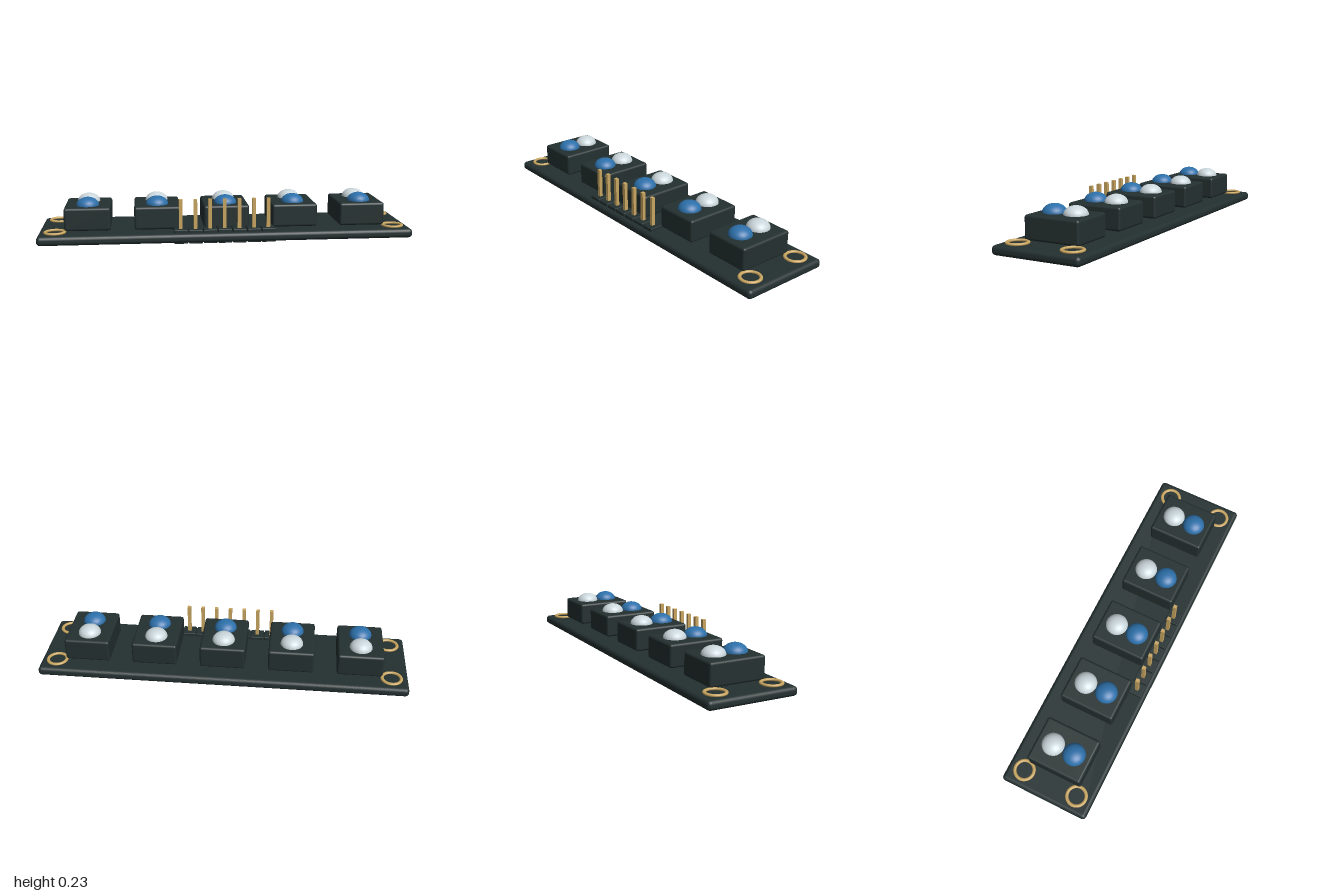
import * as THREE from 'three';
import { RoundedBoxGeometry } from 'three/addons/geometries/RoundedBoxGeometry.js';

const material = (name, color) => {
  const m = new THREE.MeshStandardMaterial({ color });
  m.name = name;
  return m;
};

export function createModel() {
  const model = new THREE.Group();
  model.name = 'sensorBoard';
  const dark = material('dark plastic', 0x243030);
  const gold = material('gold metal', 0xc9a661);
  const blue = material('blue lens', 0x2d70aa);
  const clear = material('clear lens', 0xcbd7dc);

  const add = (parent, name, geometry, mat, x, y, z) => {
    const mesh = new THREE.Mesh(geometry, mat);
    mesh.name = name;
    mesh.position.set(x, y, z);
    parent.add(mesh);
    return mesh;
  };

  // Circuit board
  add(model, 'board', new RoundedBoxGeometry(2, 0.049, 0.492, 3, 0.02), dark, 0, 0.0325, 0);

  // Five sensor housings, each with a blue and a clear lens dome
  const housing = new RoundedBoxGeometry(0.245, 0.123, 0.307, 3, 0.013);
  const dome = new THREE.SphereGeometry(0.061, 32, 12, 0, Math.PI * 2, 0, Math.PI / 2);
  dome.scale(1, 0.045 / 0.061, 1);
  for (let i = -2; i <= 2; i++) {
    const sensor = new THREE.Group();
    sensor.name = 'sensor';
    sensor.position.x = i * 0.37;
    model.add(sensor);
    add(sensor, 'housing', housing, dark, 0, 0.1255, 0);
    add(sensor, 'blueLens', dome, blue, 0, 0.186, 0.061);
    add(sensor, 'clearLens', dome, clear, 0, 0.186, -0.061);
  }

  // Flattened rings around the corner mounting points
  const ring = new THREE.TorusGeometry(0.051, 0.009, 10, 36);
  ring.rotateX(Math.PI / 2);
  ring.scale(1, 0.78, 1);
  for (const x of [-0.91, 0.91]) {
    for (const z of [-0.155, 0.155]) add(model, 'mountingRing', ring, gold, x, 0.063, z);
  }

  // Seven-pin header reaching through the board
  const block = new RoundedBoxGeometry(0.073, 0.074, 0.076, 2, 0.004);
  const pin = new THREE.BoxGeometry(0.019, 0.19, 0.019);
  for (let i = 0; i < 7; i++) {
    const x = -0.248 + i * 0.078;
    add(model, 'headerBlock', block, dark, x, 0.037, 0.185);
    add(model, 'headerPin', pin, gold, x, 0.137, 0.185);
  }

  return model;
}
